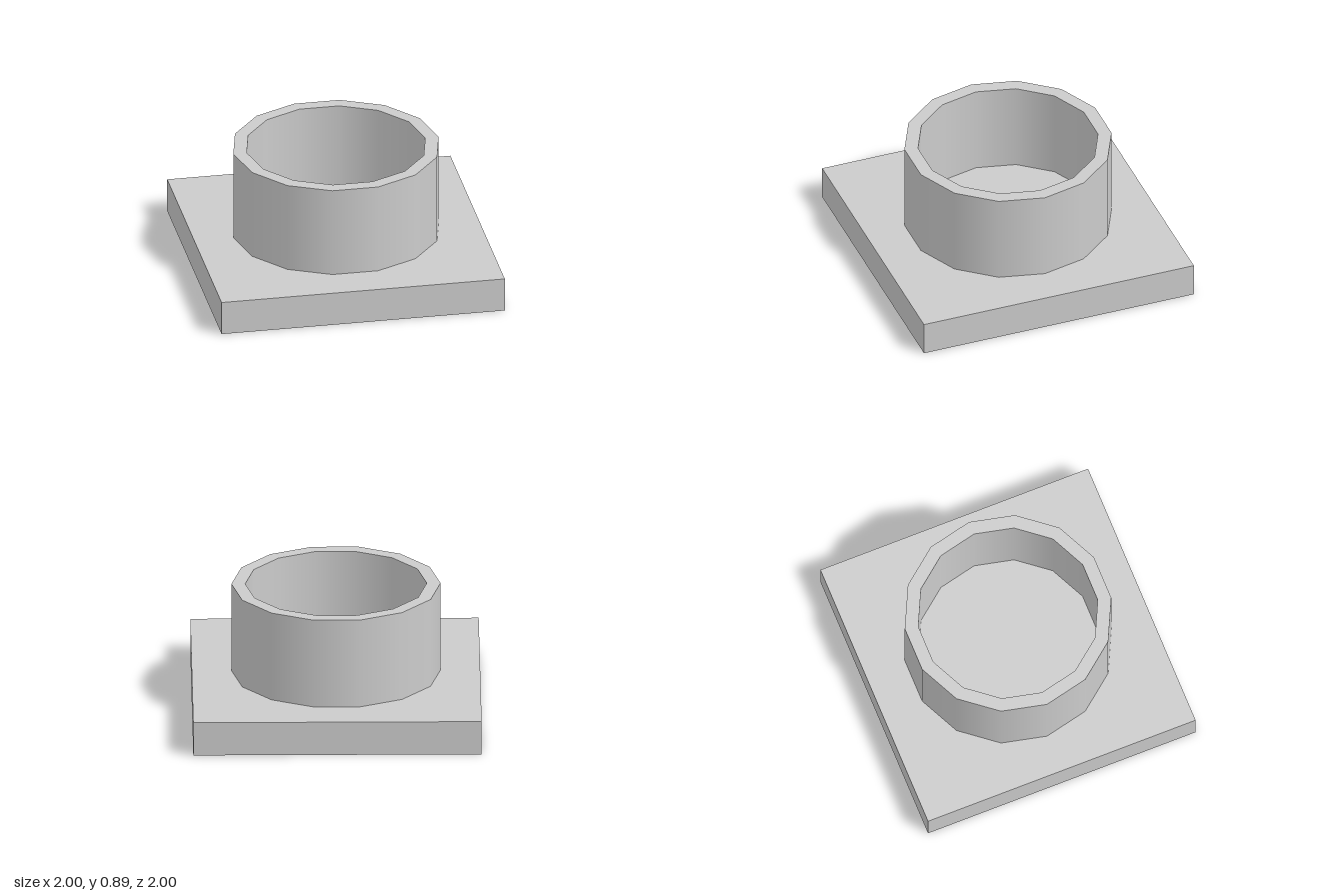
import * as THREE from 'three';

const SIDES = 14;
const BASE_TOP = 0.243, RIM_TOP = 0.888, SKIRT_BOTTOM = 0.165;
const OUTER = 0.725, INNER = 0.63;

export function createModel() {
  const model = new THREE.Group();
  const material = new THREE.MeshStandardMaterial({ color: 0xcccccc, side: THREE.DoubleSide });

  const add = (name, geometry, y) => {
    const mesh = new THREE.Mesh(geometry, material);
    mesh.name = name;
    mesh.position.y = y;
    model.add(mesh);
  };

  // Open, smooth-shaded tube wall with a corner on the x axis
  const addWall = (name, radius, bottom, top) => add(
    name,
    new THREE.CylinderGeometry(radius, radius, top - bottom, SIDES, 1, true, Math.PI / 2),
    (bottom + top) / 2
  );

  // Square base: a thin shell, open underneath (the bottom face is dropped)
  const base = new THREE.BoxGeometry(2, BASE_TOP, 2);
  const index = Array.from(base.index.array);
  index.splice(18, 6);
  base.setIndex(index);
  base.clearGroups();
  add('base', base, BASE_TOP / 2);

  // Collar: the outer wall pokes through the base, the inner wall ends on it
  addWall('collarOuterWall', OUTER, SKIRT_BOTTOM, RIM_TOP);
  addWall('collarInnerWall', INNER, BASE_TOP, RIM_TOP);

  // Flat rim joining the two walls
  add('collarRim', new THREE.RingGeometry(INNER, OUTER, SIDES).rotateX(-Math.PI / 2), RIM_TOP);

  return model;
}
